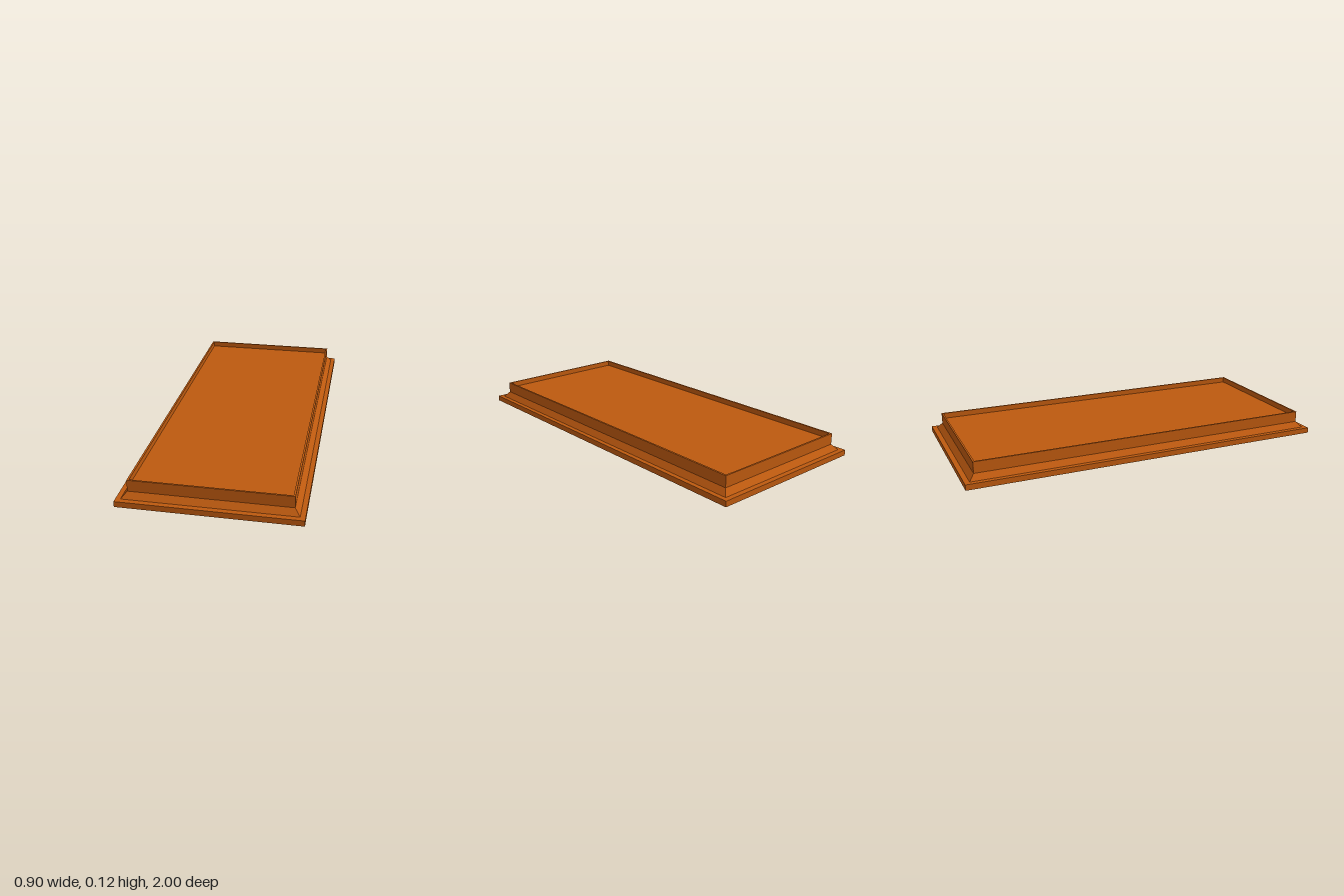
import * as THREE from 'three';

const wood = new THREE.MeshStandardMaterial({ color: 0xbc590f });
wood.name = 'orange wood';

// Rectangular block whose top may be inset to form a sloped moulding
function block(name, halfX, halfZ, y0, y1, inset = 0) {
  const geo = new THREE.BoxGeometry(halfX * 2, y1 - y0, halfZ * 2);
  const p = geo.attributes.position;
  for (let i = 0; i < p.count; i++) {
    if (p.getY(i) > 0) {
      p.setX(i, Math.sign(p.getX(i)) * (halfX - inset));
      p.setZ(i, Math.sign(p.getZ(i)) * (halfZ - inset));
    }
  }
  geo.computeVertexNormals();
  geo.translate(0, (y0 + y1) / 2, 0);
  const mesh = new THREE.Mesh(geo, wood);
  mesh.name = name;
  return mesh;
}

// Rectangle outline, used for the rim and its opening
function outline(target, x, z) {
  target.moveTo(-x, -z);
  target.lineTo(x, -z);
  target.lineTo(x, z);
  target.lineTo(-x, z);
  target.closePath();
  return target;
}

export function createModel() {
  const group = new THREE.Group();
  group.name = 'tray';

  // Flat foot, sloped moulding and the recessed tray floor
  group.add(block('basePlate', 0.452, 1, 0, 0.03));
  group.add(block('slopedMoulding', 0.427, 0.973, 0.03, 0.06, 0.027));
  group.add(block('trayFloor', 0.39, 0.937, 0.06, 0.09));

  // Thin upright rim around the floor
  const frame = outline(new THREE.Shape(), 0.4, 0.946);
  frame.holes.push(outline(new THREE.Path(), 0.39, 0.937));
  const rimGeo = new THREE.ExtrudeGeometry(frame, { depth: 0.06, bevelEnabled: false });
  rimGeo.rotateX(-Math.PI / 2);
  rimGeo.translate(0, 0.06, 0);
  const rim = new THREE.Mesh(rimGeo, wood);
  rim.name = 'rim';
  group.add(rim);

  return group;
}
